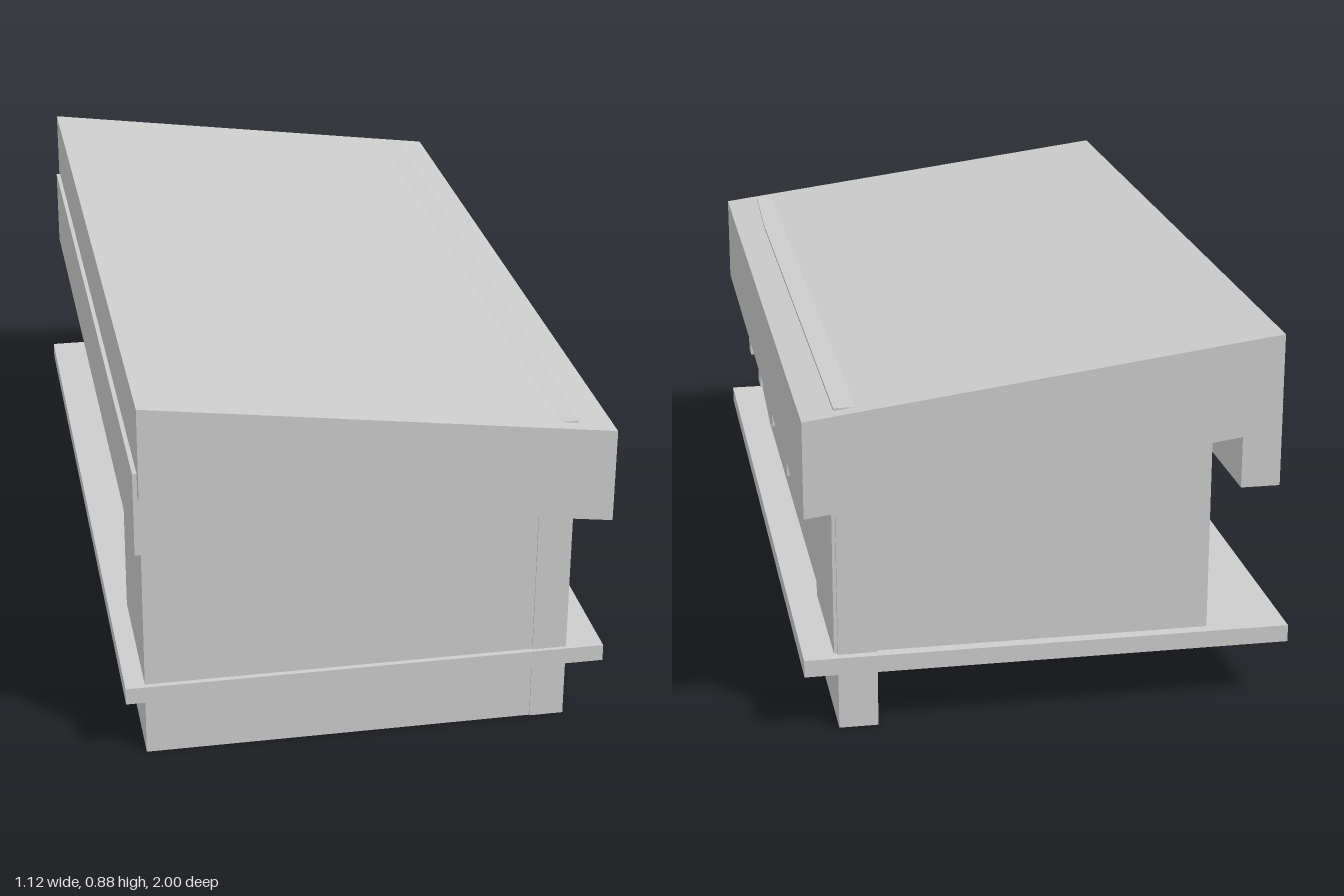
import * as THREE from 'three';

export function createModel() {
  const model = new THREE.Group();
  const grey = new THREE.MeshStandardMaterial({ color: 0xcccccc });

  const add = (name, geometry) => {
    const mesh = new THREE.Mesh(geometry, grey);
    mesh.name = name;
    model.add(mesh);
    return mesh;
  };
  // Box given by its lower and upper limits on each axis
  const box = (name, x0, x1, y0, y1, z0, z1) => {
    const g = new THREE.BoxGeometry(x1 - x0, y1 - y0, z1 - z0);
    g.translate((x0 + x1) / 2, (y0 + y1) / 2, (z0 + z1) / 2);
    return add(name, g);
  };
  const outline = (pts) => new THREE.Shape(pts.map(([x, y]) => new THREE.Vector2(x, y)));
  // Front-facing profile swept along z
  const sweep = (name, pts, z0, z1) => {
    const g = new THREE.ExtrudeGeometry(outline(pts), { depth: z1 - z0, bevelEnabled: false });
    g.translate(0, 0, z0);
    return add(name, g);
  };
  const roofUnder = (x) => 0.663 - (x + 0.52) * 0.1315;

  // Sloping roof slab
  sweep('roof', [[-0.52, 0.663], [0.55, 0.522], [0.55, 0.745], [-0.52, 0.885]], -1, 1);

  // Rafters whose ends show below the eave
  for (const z of [0.335, 0.06, -0.258, -0.61]) {
    const a = -0.42, b = 0.55;
    sweep('rafter', [
      [a, roofUnder(a) - 0.032], [b, roofUnder(b) - 0.032],
      [b, roofUnder(b) + 0.01], [a, roofUnder(a) + 0.01],
    ], z - 0.028, z + 0.028);
  }

  // Floor plate
  box('floorPlate', -0.56, 0.555, 0.14, 0.18, -0.985, 0.975);

  // Long wall and the end room, whose outer side tapers slightly
  box('longWall', 0.388, 0.477, 0, 0.761, -0.965, 0.6);
  const room = new THREE.ExtrudeGeometry(
    outline([[0.388, -0.965], [0.468, -0.965], [0.478, -0.595], [0.388, -0.595]]),
    { depth: 0.761, bevelEnabled: false });
  room.rotateX(-Math.PI / 2);
  add('cornerPier', room);
  box('frontRoom', -0.515, 0.39, 0, 0.72, 0.595, 0.962);

  // Back room, set above the ground
  box('backRoom', -0.374, 0.485, 0.133, 0.65, -0.957, -0.62);

  // Beam above the open side
  box('openingBeam', -0.53, -0.44, 0.52, 0.72, -0.97, 0.975);

  // Counter with a stepped top and a row of small pegs
  box('counter', -0.374, -0.3, 0.18, 0.28, -0.63, 0.6);
  box('counterStep', -0.31, -0.24, 0.18, 0.3, -0.63, 0.6);
  const pegs = 17;
  for (let i = 0; i < pegs; i++) {
    const z = -0.57 + (i * 1.12) / (pegs - 1);
    box('counterPeg', -0.31, -0.27, 0.29, 0.35, z - 0.014, z + 0.014);
  }

  return model;
}
